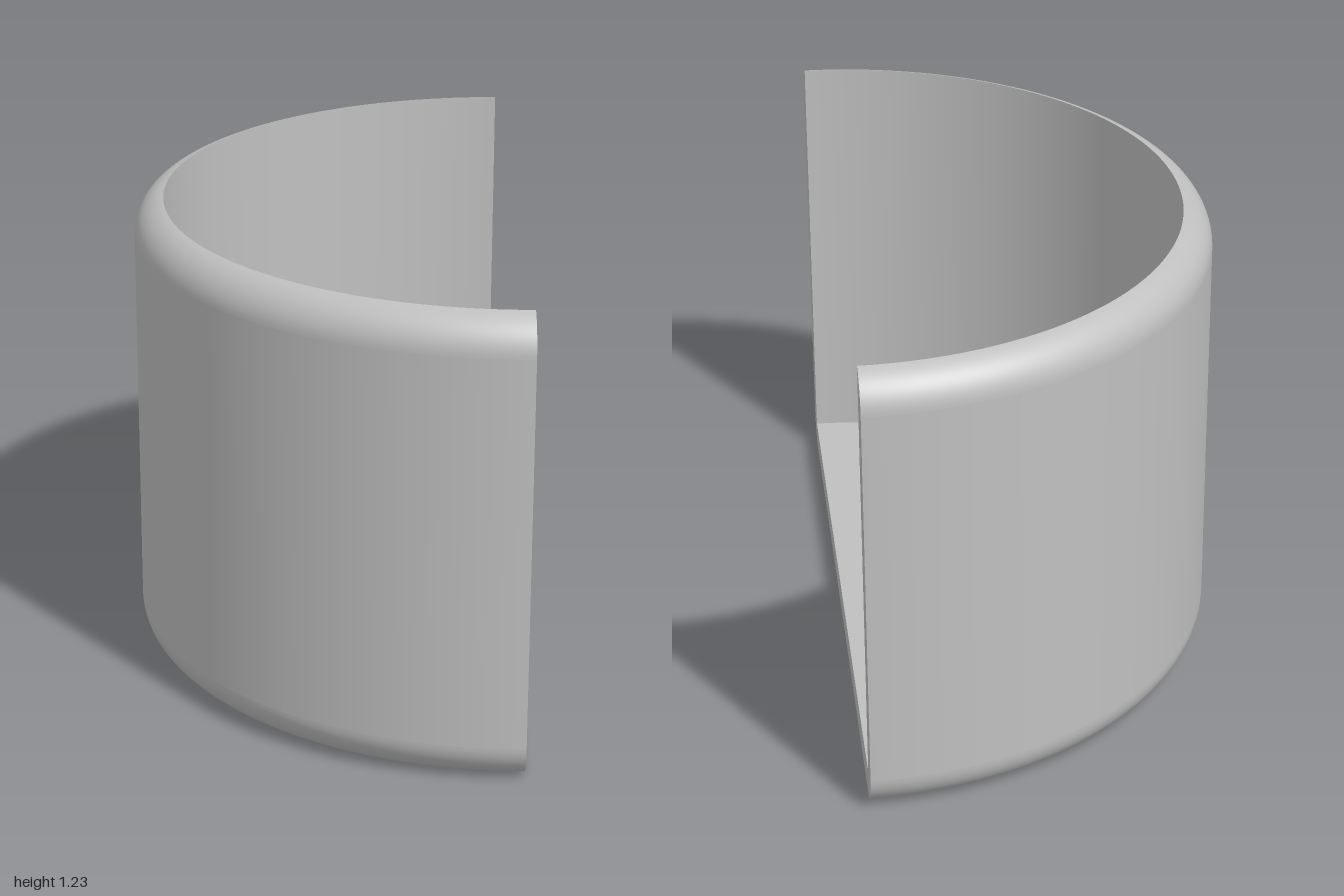
import * as THREE from 'three';

const R = 1, INNER = 0.923, FLOOR = 0.077, FILLET = 0.1, RIM_Y = 1.128;

// Quarter-round points about a centre, from angle a to angle b
function arc(cx, cy, a, b, n = 16) {
  return Array.from({ length: n + 1 }, (_, i) => {
    const t = a + (b - a) * i / n;
    return new THREE.Vector2(cx + FILLET * Math.cos(t), cy + FILLET * Math.sin(t));
  });
}

export function createModel() {
  const group = new THREE.Group();
  group.name = 'halfCup';
  const grey = new THREE.MeshStandardMaterial({ color: 0xc0c0c0 });
  grey.name = 'light grey';

  const add = (name, geometry) => {
    const mesh = new THREE.Mesh(geometry, grey);
    mesh.name = name;
    mesh.position.x = 0.5;
    group.add(mesh);
  };
  // Half revolution on the -x side
  const halfLathe = (name, points) =>
    add(name, new THREE.LatheGeometry(points, 96, Math.PI, Math.PI));

  // Outer profile, bottom to top; the rim round ends at the inner wall
  const c = R - FILLET;
  const lower = arc(c, FILLET, -Math.PI / 2, 0);
  const upper = arc(c, RIM_Y, 0, Math.acos((INNER - c) / FILLET));
  const rim = upper[upper.length - 1];
  const innerCorner = new THREE.Vector2(INNER, FLOOR);

  // Each smooth band is its own surface, so edges stay crisp
  halfLathe('underside', [new THREE.Vector2(0, 0), lower[0]]);
  halfLathe('bottomRound', lower);
  halfLathe('outerWall', [lower[lower.length - 1], upper[0]]);
  halfLathe('rimRound', upper);
  halfLathe('innerWall', [rim, innerCorner]);
  halfLathe('floor', [innerCorner, new THREE.Vector2(0, FLOOR)]);

  // Flat U-shaped cut face, facing +x
  const half = [...lower, ...upper, innerCorner];
  const mirrored = half.map(p => new THREE.Vector2(-p.x, p.y)).reverse();
  const cut = new THREE.ShapeGeometry(new THREE.Shape([...half, ...mirrored]));
  cut.rotateY(Math.PI / 2);
  add('cutFace', cut);

  return group;
}
